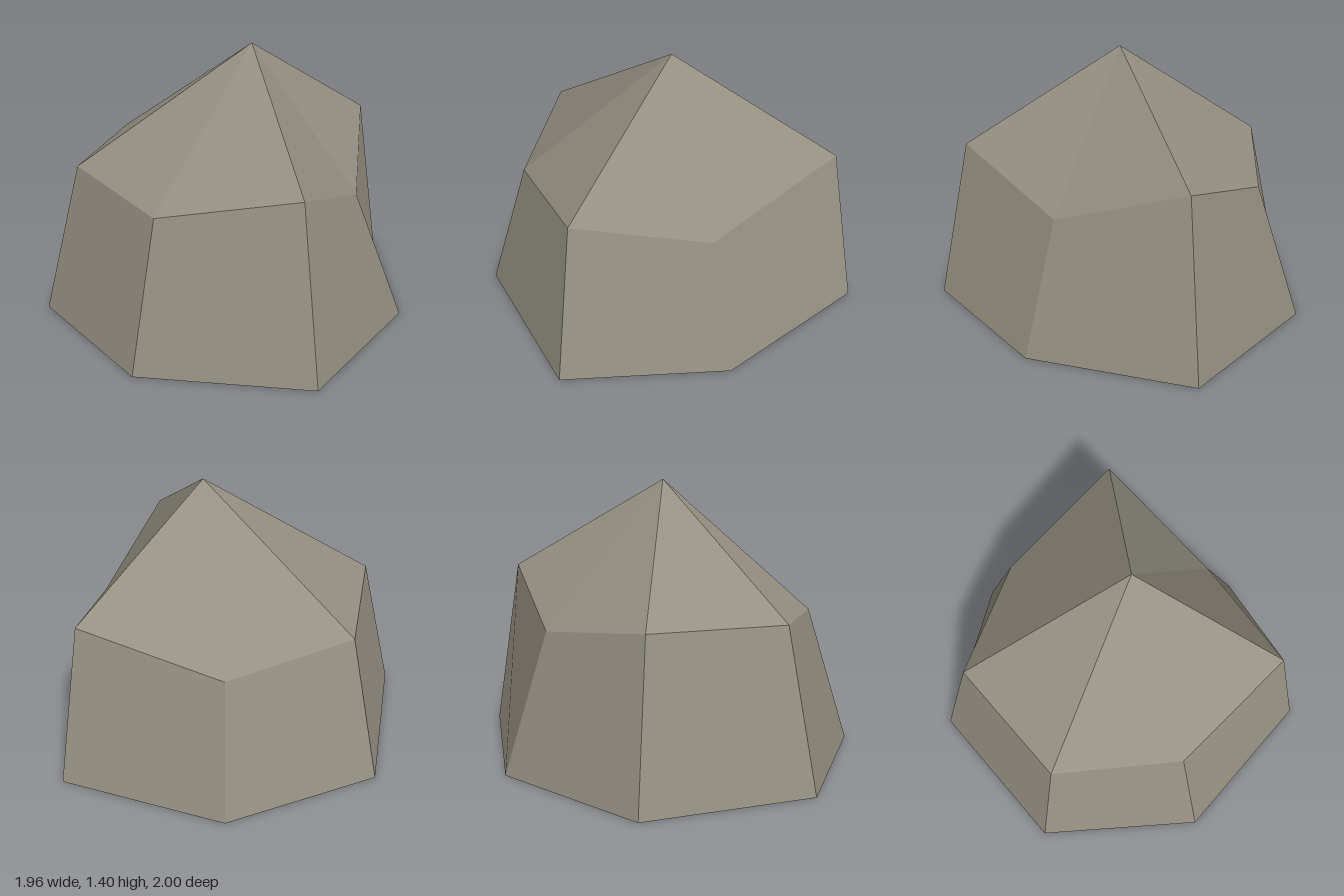
import * as THREE from 'three';

export function createModel() {
  const group = new THREE.Group();
  group.name = 'boulder';
  const stone = new THREE.MeshStandardMaterial({ color: 0x959082 });
  stone.name = 'stone grey';

  // Two seven-sided rings and a peak
  const point = (p) => new THREE.Vector3(...p);
  const foot = [[0.98, 0, -0.02], [0.49, 0, 0.7], [-0.32, 0, 1], [-0.95, 0, 0.4],
    [-0.98, 0, -0.45], [-0.31, 0, -1], [0.5, 0, -0.76]].map(point);
  const shoulder = [[0.82, 0.91, -0.02], [0.33, 0.65, 0.5], [-0.28, 0.865, 0.825], [-0.745, 0.72, 0.3],
    [-0.8, 0.79, -0.36], [-0.265, 0.8, -0.8], [0.355, 0.7, -0.57]].map(point);
  const peak = point([-0.01, 1.4, 0.06]);

  // Each facet is a fan of triangles sharing one normal, so it reads as a single plane
  const addPart = (name, facets) => {
    const positions = [], normals = [];
    for (const facet of facets) {
      const normal = new THREE.Vector3();
      const triangles = facet.slice(2).map((p, k) => [facet[0], facet[k + 1], p]);
      for (const [a, b, c] of triangles) {
        normal.add(b.clone().sub(a).cross(c.clone().sub(a)));
      }
      normal.normalize();
      for (const corner of triangles.flat()) {
        positions.push(...corner.toArray());
        normals.push(...normal.toArray());
      }
    }
    const geometry = new THREE.BufferGeometry();
    geometry.setAttribute('position', new THREE.Float32BufferAttribute(positions, 3));
    geometry.setAttribute('normal', new THREE.Float32BufferAttribute(normals, 3));
    const mesh = new THREE.Mesh(geometry, stone);
    mesh.name = name;
    group.add(mesh);
  };

  // Leaning walls, sloping cap and flat underside
  const next = (ring, i) => ring[(i + 1) % ring.length];
  addPart('rockWall', foot.map((p, i) => [p, shoulder[i], next(shoulder, i), next(foot, i)]));
  addPart('rockCap', shoulder.map((p, i) => [p, peak, next(shoulder, i)]));
  addPart('rockUnderside', [foot]);
  return group;
}
